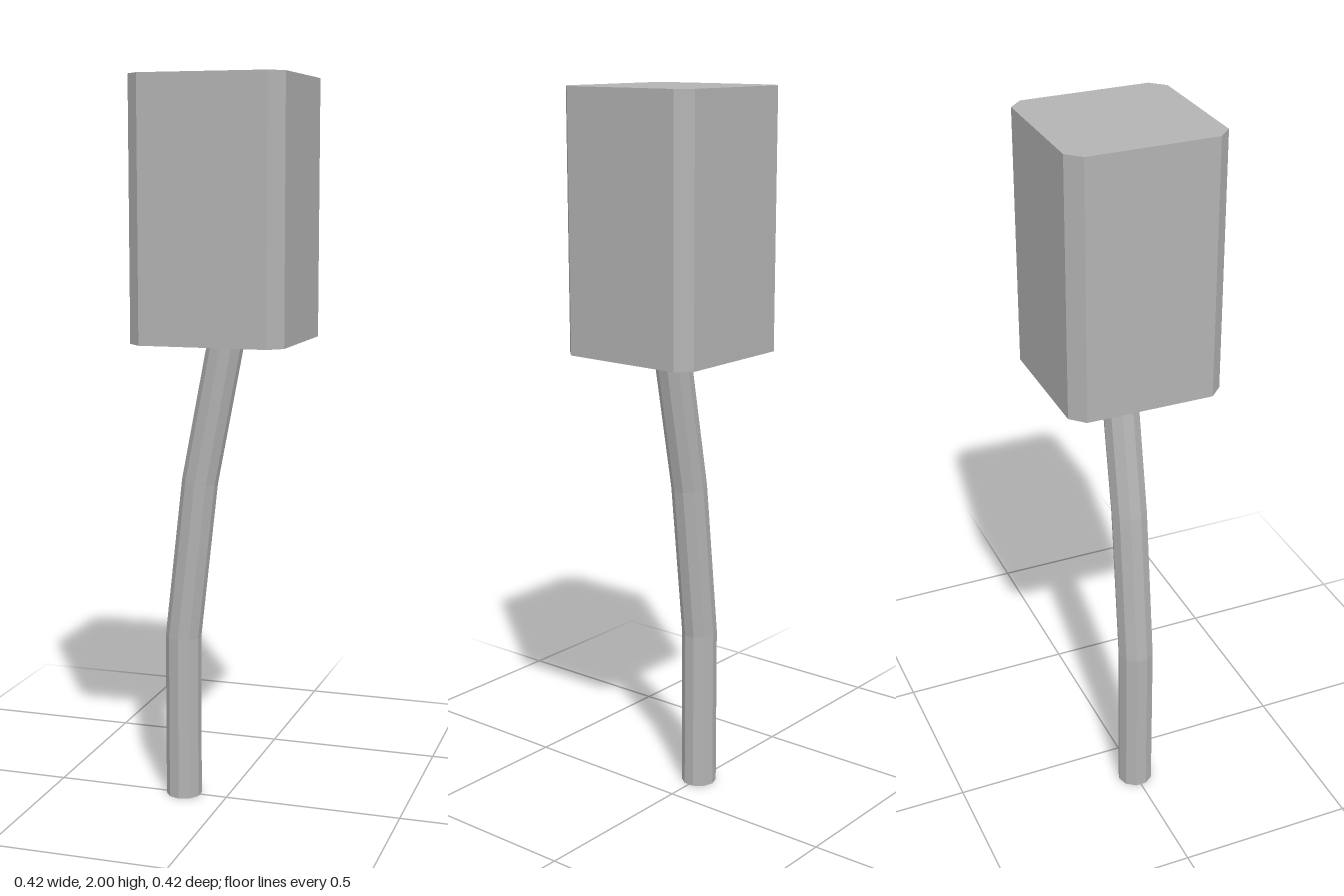
import * as THREE from 'three';

const grey = new THREE.MeshStandardMaterial({ color: 0xb3b3b3 });
grey.name = 'grey';

// Split the faces so that every facet is flat
function facetedMesh(name, geometry) {
  const flat = geometry.index ? geometry.toNonIndexed() : geometry;
  flat.computeVertexNormals();
  const mesh = new THREE.Mesh(flat, grey);
  mesh.name = name;
  return mesh;
}

// Upright block with chamfered vertical corners
function createBlock(half, chamfer, bottom, top) {
  const c = half - chamfer;
  const outline = new THREE.Shape([
    [c, -half], [half, -c], [half, c], [c, half],
    [-c, half], [-half, c], [-half, -c], [-c, -half],
  ].map(([x, y]) => new THREE.Vector2(x, y)));
  const geometry = new THREE.ExtrudeGeometry(outline, { depth: top - bottom, bevelEnabled: false });
  geometry.rotateX(-Math.PI / 2).translate(0, bottom, 0);
  return facetedMesh('crown', geometry);
}

// Ten-sided stem whose rings follow a bent path; tilt leans each ring
function createStem(radius, rings) {
  const spans = rings.length - 1;
  const geometry = new THREE.CylinderGeometry(radius, radius, 1, 10, spans);
  const pos = geometry.attributes.position;
  for (let i = 0; i < pos.count; i++) {
    const { x, y, tilt } = rings[Math.round((pos.getY(i) + 0.5) * spans)];
    const offset = pos.getX(i);
    pos.setXY(i, x + offset * Math.cos(tilt), y - offset * Math.sin(tilt));
  }
  return facetedMesh('trunk', geometry);
}

export function createModel() {
  const model = new THREE.Group();
  model.name = 'blockTree';
  model.add(createBlock(0.211, 0.037, 1.303, 2));
  model.add(createStem(0.05, [
    { x: -0.126, y: 0, tilt: 0 },
    { x: -0.126, y: 0.465, tilt: 0.055 },
    { x: -0.076, y: 0.91, tilt: 0.15 },
    { x: -0.002, y: 1.292, tilt: 0.19 },
  ]));
  return model;
}
